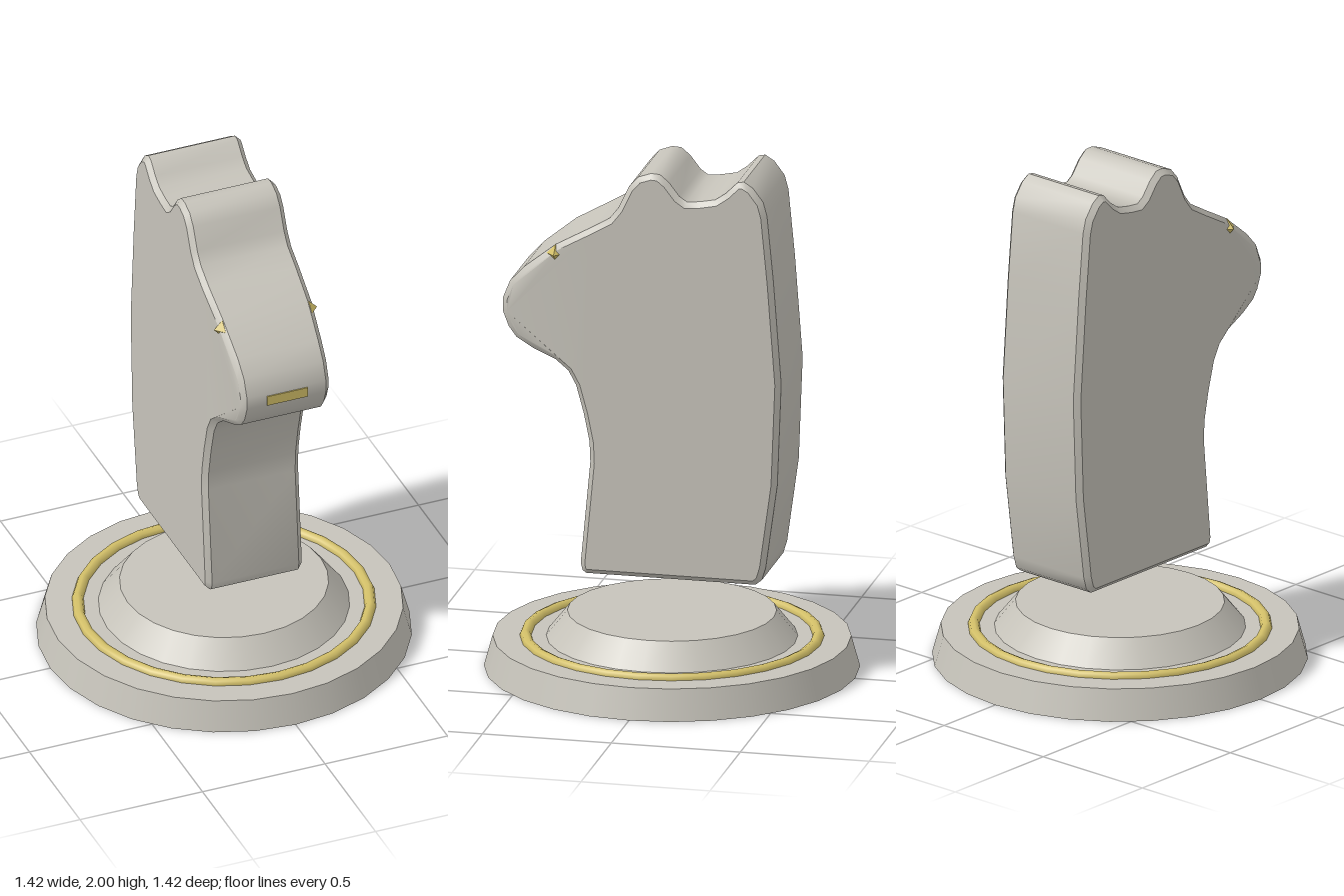
import * as THREE from 'three';
import { toCreasedNormals } from 'three/addons/utils/BufferGeometryUtils.js';

const SIDES = 28;

export function createModel() {
  const model = new THREE.Group();
  model.name = 'horseTrophy';

  const stone = new THREE.MeshStandardMaterial({ color: 0xc6c3ba });
  stone.name = 'paleStone';
  const gold = new THREE.MeshStandardMaterial({ color: 0xd2bf68 });
  gold.name = 'gold';

  const add = (name, geometry, material, x = 0, y = 0, z = 0) => {
    const mesh = new THREE.Mesh(geometry, material);
    mesh.name = name;
    mesh.position.set(x, y, z);
    model.add(mesh);
    return mesh;
  };

  // Two-step base with a gold ring lying on the lower step
  add('baseFoot', new THREE.CylinderGeometry(0.677, 0.71, 0.12, SIDES), stone, 0, 0.06, 0);
  add('basePlinth', new THREE.CylinderGeometry(0.395, 0.475, 0.1, SIDES), stone, 0, 0.17, 0);
  const ring = new THREE.TorusGeometry(0.553, 0.022, 8, SIDES);
  ring.rotateX(Math.PI / 2);
  add('baseRing', ring, gold, 0, 0.12, 0);

  // Horse head and neck: side outline as (z, y), from the front foot up over the head and down the back
  const outline = [
    [0.29, 0.4], [0.305, 0.41], [0.312, 0.44], [0.275, 0.84], [0.278, 0.92], [0.3, 1.03],
    [0.33, 1.14], [0.36, 1.195], [0.41, 1.235], [0.5, 1.272], [0.565, 1.31], [0.595, 1.35],
    [0.618, 1.41], [0.618, 1.46], [0.59, 1.53], [0.535, 1.59], [0.41, 1.69], [0.28, 1.763],
    [0.2, 1.81], [0.165, 1.855], [0.125, 1.94], [0.09, 1.98], [0.04, 1.998], [0.005, 1.996],
    [-0.03, 1.967], [-0.07, 1.915], [-0.1, 1.895], [-0.15, 1.9], [-0.21, 1.912], [-0.25, 1.94],
    [-0.295, 1.985], [-0.32, 1.99], [-0.355, 1.968], [-0.395, 1.915], [-0.41, 1.86],
    [-0.435, 1.6], [-0.465, 1.2], [-0.45, 0.8], [-0.405, 0.47], [-0.39, 0.42], [-0.365, 0.4],
  ].map(([z, y]) => new THREE.Vector2(z, y));
  const bevel = 0.02;
  const half = 0.197;
  let body = new THREE.ExtrudeGeometry(new THREE.Shape(outline), {
    depth: 2 * (half - bevel), bevelEnabled: true, bevelSegments: 1,
    bevelThickness: bevel, bevelSize: bevel, bevelOffset: -bevel,
  });
  body.translate(0, 0, bevel - half);
  body.rotateY(-Math.PI / 2);

  // Narrow the muzzle slightly
  const p = body.attributes.position;
  for (let i = 0; i < p.count; i++) {
    const t = THREE.MathUtils.smoothstep(p.getZ(i), 0.3, 0.62);
    p.setX(i, p.getX(i) * (1 - 0.09 * t));
  }
  body = toCreasedNormals(body, 0.7);
  add('horseHead', body, stone);

  // Faceted eyes, mirrored
  for (const side of [1, -1]) {
    const eye = new THREE.OctahedronGeometry(0.035);
    add(side > 0 ? 'leftEye' : 'rightEye', eye, gold, side * 0.176, 1.655, 0.41);
  }

  // Thin plate on the muzzle
  add('muzzlePlate', new THREE.BoxGeometry(0.165, 0.04, 0.009), gold, 0.003, 1.43, 0.618);

  return model;
}
